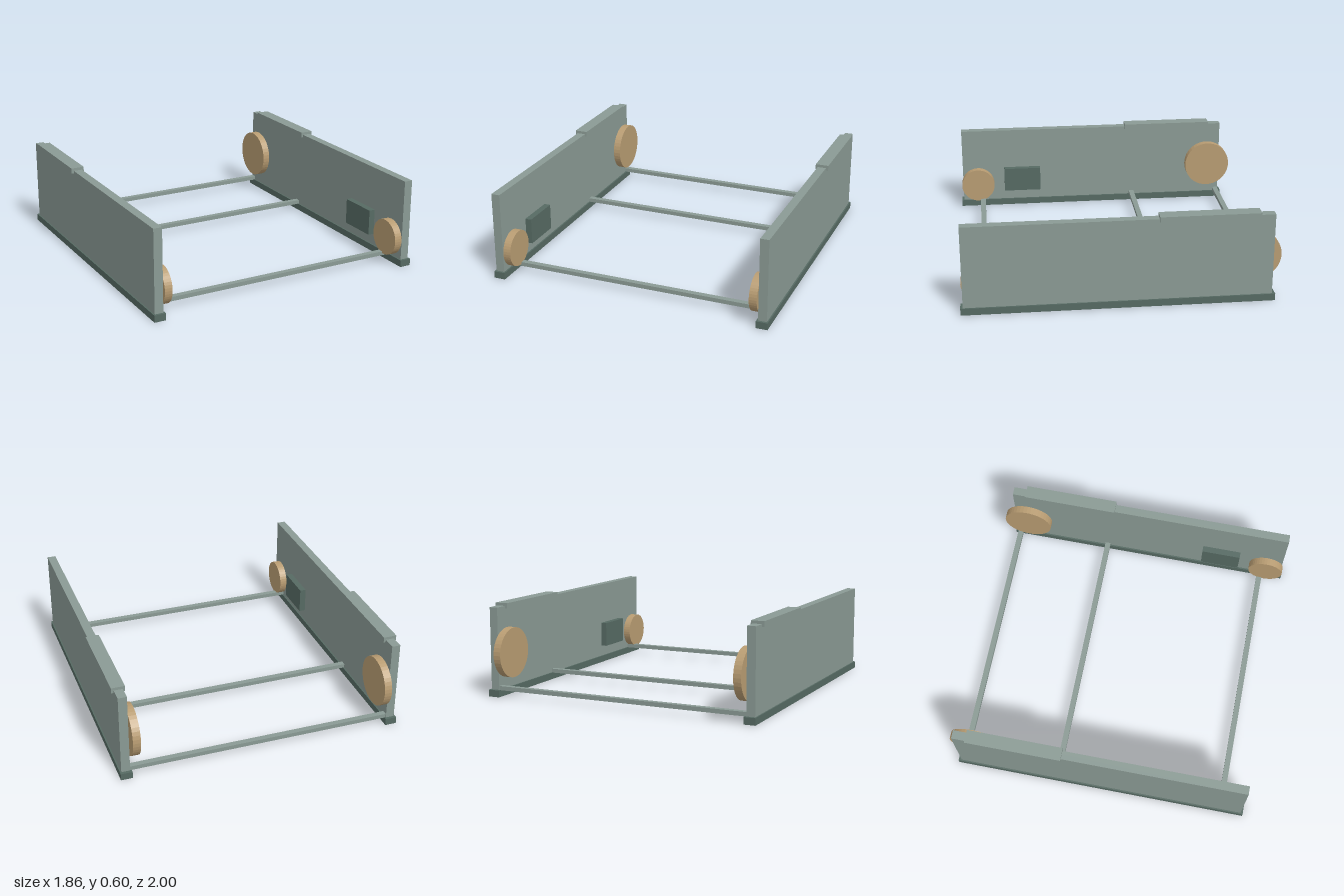
import * as THREE from 'three';

const material = (name, color) => {
  const m = new THREE.MeshStandardMaterial({ color, flatShading: true });
  m.name = name;
  return m;
};

export function createModel() {
  const model = new THREE.Group();
  model.name = 'frame';
  const grey = material('grey green', 0x8a9a94);
  const dark = material('dark green', 0x566a63);
  const tan = material('tan', 0xb89c72);

  // Box given by its extents along each axis
  const box = (parent, name, mat, [x0, x1], [y0, y1], [z0, z1]) => {
    const mesh = new THREE.Mesh(new THREE.BoxGeometry(x1 - x0, y1 - y0, z1 - z0), mat);
    mesh.position.set((x0 + x1) / 2, (y0 + y1) / 2, (z0 + z1) / 2);
    mesh.name = name;
    parent.add(mesh);
  };

  // Disc lying against the inner face of a side panel
  const disc = (parent, name, side, radius, y, z) => {
    const geometry = new THREE.CylinderGeometry(radius, radius, 0.05, 40).rotateZ(Math.PI / 2);
    const mesh = new THREE.Mesh(geometry, tan);
    mesh.position.set(side * 0.825, y, z);
    mesh.name = name;
    parent.add(mesh);
  };

  for (const side of [1, -1]) {
    const wall = new THREE.Group();
    wall.name = side > 0 ? 'leftSide' : 'rightSide';
    const span = (a, b) => (side > 0 ? [a, b] : [-b, -a]);
    box(wall, 'sidePanel', grey, span(0.858, 0.914), [0.045, 0.58], [-0.935, 0.985]);
    box(wall, 'bottomRail', dark, span(0.848, 0.923), [0, 0.045], [-0.955, 1]);
    box(wall, 'topCap', grey, span(0.844, 0.93), [0.563, 0.598], [-0.845, -0.22]);
    box(wall, 'innerPlate', dark, span(0.816, 0.86), [0.122, 0.293], [0.415, 0.68]);
    disc(wall, 'rearDisc', side, 0.163, 0.28, -0.837);
    disc(wall, 'frontDisc', side, 0.119, 0.177, 0.875);
    model.add(wall);
  }

  // Cross bars joining the two sides
  for (const z of [-0.913, -0.272, 0.843]) {
    box(model, 'crossBar', grey, [-0.86, 0.86], [0.043, 0.07], [z - 0.018, z + 0.018]);
  }
  return model;
}
